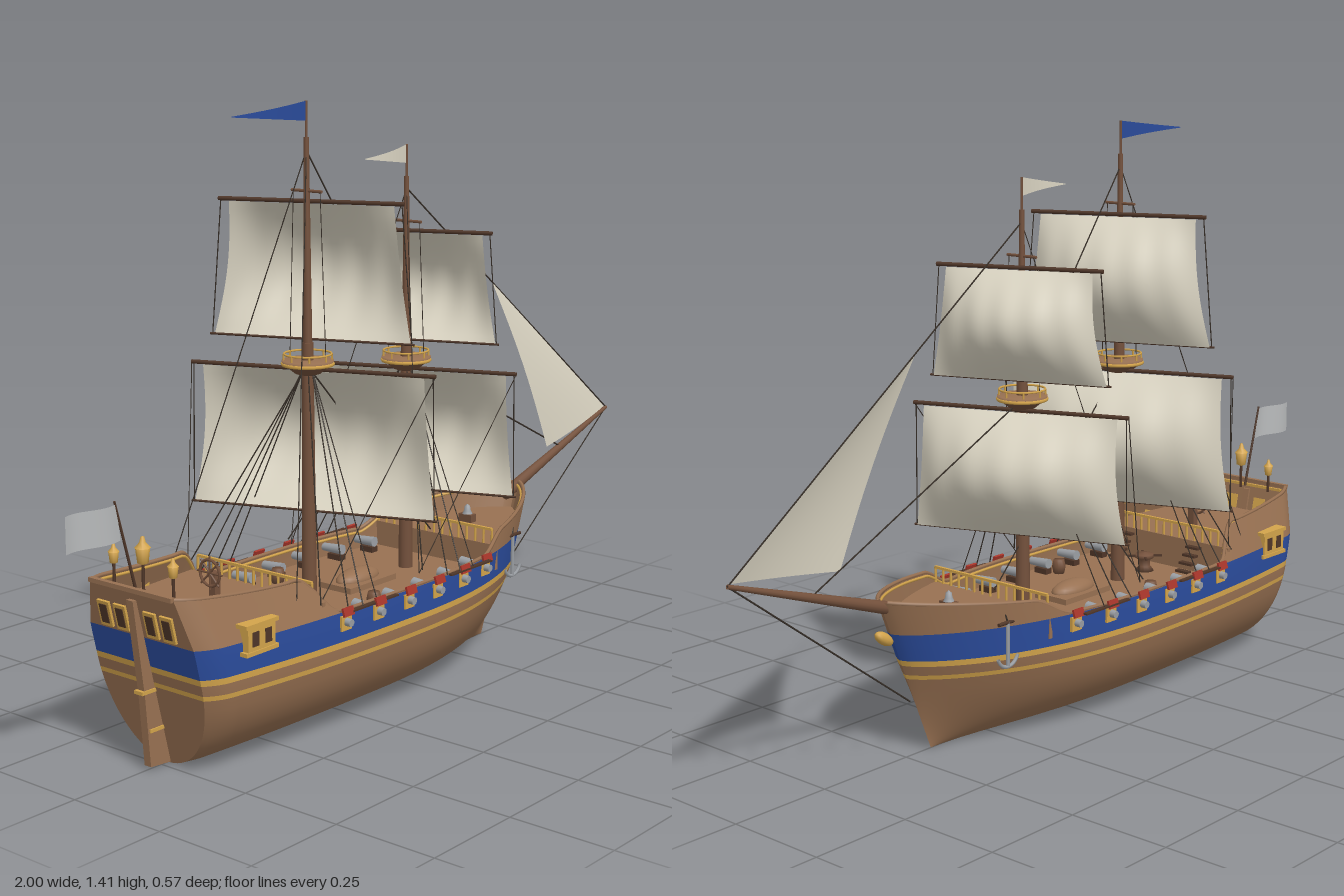
import * as THREE from 'three';

const mat = (name, color) => Object.assign(new THREE.MeshStandardMaterial({ color, side: THREE.DoubleSide }), { name });
const V = (x, y, z) => new THREE.Vector3(x, y, z);

export function createModel() {
  const wood = mat('hull wood', 0x987152), spar = mat('mast wood', 0x74513c), dark = mat('dark wood', 0x4f3628);
  const gold = mat('gold trim', 0xd3a44b), blue = mat('blue paint', 0x2b4c9c), sailCloth = mat('sail cloth', 0xdbd5c3);
  const rope = mat('rope', 0x383029), iron = mat('iron', 0x9a9ea3), red = mat('red paint', 0xa8352a), grey = mat('ensign grey', 0xb8babb);
  const ship = new THREE.Group();
  ship.name = 'sailingShip';

  // ---- helpers ----
  const add = (name, geo, m, parent = ship, x = 0, y = 0, z = 0) => {
    const mesh = new THREE.Mesh(geo, m);
    mesh.name = name;
    mesh.position.set(x, y, z);
    parent.add(mesh);
    return mesh;
  };
  const box = (name, m, w, h, d, x, y, z) => add(name, new THREE.BoxGeometry(w, h, d), m, ship, x, y, z);
  const rod = (name, m, a, b, r0, r1 = r0, sides = 8, parent = ship) => {
    const dir = b.clone().sub(a), geo = new THREE.CylinderGeometry(r1, r0, dir.length(), sides);
    const mesh = add(name, geo, m, parent);
    mesh.position.copy(a).add(b).multiplyScalar(0.5);
    mesh.quaternion.setFromUnitVectors(V(0, 1, 0), dir.normalize());
    return mesh;
  };
  const line = (name, a, b, r = 0.0014) => rod(name, rope, a, b, r, r, 4);
  const lathe = (name, m, pts, x, y, z, n = 14) =>
    add(name, new THREE.LatheGeometry(pts.map(p => new THREE.Vector2(...p)), n), m, ship, x, y, z);
  const ring = (name, m, r, tube, x, y) =>
    add(name, new THREE.TorusGeometry(r, tube, 6, 20), m, ship, x, y, 0).rotation.x = Math.PI / 2;
  const grid = (fn, nu, nv) => {
    const pos = [], idx = [], w = nu + 1;
    for (let j = 0; j <= nv; j++) for (let i = 0; i <= nu; i++) pos.push(...fn(i / nu, j / nv));
    for (let j = 0; j < nv; j++) for (let i = 0; i < nu; i++) {
      const a = j * w + i;
      idx.push(a, a + 1, a + w, a + 1, a + w + 1, a + w);
    }
    const g = new THREE.BufferGeometry();
    g.setAttribute('position', new THREE.Float32BufferAttribute(pos, 3));
    g.setIndex(idx);
    g.computeVertexNormals();
    return g;
  };

  // ---- hull form: s runs stern to bow, y is height ----
  const sternX = y => -0.73 - 0.235 * y, bowX = y => 0.42 + 0.4 * y;
  const stationAt = (x, y) => (x - sternX(y)) / (bowX(y) - sternX(y));
  const halfWidth = (s, y) => {
    const a = Math.abs(s - 0.5) / 0.5, low = Math.max(0, 1 - y / 0.22);
    const plan = s < 0.5 ? 0.23 - 0.052 * a ** 2.2 - 0.02 * Math.max(0, 1 - s / 0.045) ** 2
      : 0.23 * Math.max(0, 1 - a ** 2.3) ** (0.7 + 0.35 * low);
    const tumble = 1 - Math.max(0, y - 0.3) * 1.8 * Math.min(1, Math.max(0, 1.7 - 2 * s));
    return plan * Math.sqrt(1 - low * low) * tumble;
  };
  const hullPoint = (s, y, side, out = 0) =>
    [sternX(y) + (bowX(y) - sternX(y)) * s, y, side * Math.max(0, halfWidth(s, y) + out)];
  const smooth = t => THREE.MathUtils.smoothstep(t, 0, 1);
  const railY = s => {
    const x = -0.82 + 1.39 * s, q = Math.max(0, (-0.45 - x) / 0.37);
    return 0.304 + (0.084 + 0.024 * q * q) * smooth((-0.41 - x) / 0.09)
      + 0.046 * smooth((x - 0.17) / 0.1) + Math.max(0, x - 0.27) * 0.115;
  };
  const along = u => u < 0.1 ? u * 0.6 : 1 - 0.94 * ((1 - u) / 0.9) ** 1.35;

  // ---- hull planking, painted in level bands ----
  const bands = [
    ['lowerHull', wood, v => 0.186 * v * v, 14], ['lowerWale', gold, v => 0.186 + 0.011 * v, 1],
    ['middleHull', wood, v => 0.197 + 0.024 * v, 2], ['upperWale', gold, v => 0.221 + 0.014 * v, 1],
    ['blueBand', blue, v => 0.235 + 0.068 * v, 3], ['bulwark', wood, (v, s) => 0.303 + (railY(s) - 0.303) * v, 4]];
  for (const [name, m, yOf, n] of bands) {
    for (const side of [1, -1])
      add(name, grid((u, v) => hullPoint(along(u), yOf(v, along(u)), side), 70, n), m);
    add(name + 'Transom', grid((u, v) => {
      const p = hullPoint(0, yOf(v, 0), 1);
      return [p[0], p[1], p[2] * (2 * u - 1)];
    }, 8, n), m);
  }
  // inner planking, wooden cap rail and the gilded line inside it
  const railTube = (name, m, side, dy, out, r) => {
    const pts = Array.from({ length: 50 }, (_, i) => {
      const s = 0.003 + 0.99 * along(i / 49);
      return V(...hullPoint(s, railY(s) + dy, side, out));
    });
    add(name, new THREE.TubeGeometry(new THREE.CatmullRomCurve3(pts), 120, r, 6), m);
  };
  for (const side of [1, -1]) {
    add('innerBulwark', grid((u, v) => {
      const s = along(u);
      return hullPoint(s * 0.985 + 0.005, 0.25 + (railY(s) - 0.25) * v, side, -0.01);
    }, 70, 3), wood);
    railTube('capRail', wood, side, 0.001, -0.006, 0.005);
    railTube('gildedLine', gold, side, -0.007, -0.012, 0.0035);
  }
  box('sternCapRail', wood, 0.012, 0.01, 0.25, sternX(0.413), 0.413, 0);
  box('sternGildedLine', gold, 0.006, 0.007, 0.23, sternX(0.4) + 0.008, 0.403, 0);

  // ---- decks and the bulkheads between them ----
  const deck = (name, y, x0, x1) => {
    const s0 = stationAt(x0, y), s1 = stationAt(x1, y);
    add(name, grid((u, v) => {
      const p = hullPoint(s0 + (s1 - s0) * u, y, 1, -0.005);
      return [p[0], y, p[2] * (1 - 2 * v)];
    }, 24, 4), wood);
  };
  deck('mainDeck', 0.255, -0.46, 0.23);
  deck('quarterDeck', 0.335, -0.805, -0.45);
  deck('foreDeck', 0.318, 0.215, 0.545);
  box('quarterBulkhead', wood, 0.01, 0.08, 0.42, -0.45, 0.295, 0);
  box('foreBulkhead', wood, 0.01, 0.063, 0.385, 0.217, 0.2865, 0);
  for (const [x, y, w] of [[-0.45, 0.335, 0.175], [0.215, 0.318, 0.18]]) {
    box('deckRail', gold, 0.007, 0.006, 2 * w, x, y + 0.038, 0);
    for (let i = 0; i <= 14; i++) {
      const z = -w + 2 * w * i / 14;
      rod('baluster', gold, V(x, y, z), V(x, y + 0.038, z), 0.0033, 0.0033, 6);
    }
  }

  // ---- rudder, transom windows, lanterns and ensign ----
  const rudder = new THREE.Shape([[-0.728, 0.003], [-0.79, 0.008], [-0.803, 0.17], [-0.832, 0.39], [-0.815, 0.39]].map(p => new THREE.Vector2(...p)));
  add('rudder', new THREE.ExtrudeGeometry(rudder, { depth: 0.02, bevelEnabled: false }), wood, ship, 0, 0, -0.01);
  for (const y of [0.09, 0.18]) box('rudderHinge', gold, 0.045, 0.008, 0.026, sternX(y) - 0.018, y, 0);
  for (const z of [-0.095, -0.045, 0.045, 0.095]) {
    box('sternWindowFrame', gold, 0.008, 0.06, 0.036, sternX(0.34) - 0.002, 0.34, z).rotation.z = 0.23;
    box('sternWindowPane', dark, 0.008, 0.044, 0.022, sternX(0.34) - 0.004, 0.34, z).rotation.z = 0.23;
  }
  for (const [z, k] of [[-0.09, 0.72], [0, 1], [0.09, 0.72]]) {
    rod('lanternPost', dark, V(-0.79, 0.4, z), V(-0.79, 0.41 + 0.055 * k, z), 0.0035);
    lathe('sternLantern', gold, [[0, 0.05], [0.012, 0.055], [0.016, 0.088], [0, 0.09]], -0.79, 0.408, z, 8).scale.setScalar(k);
    lathe('lanternCap', gold, [[0.018, 0.088], [0.007, 0.1], [0.004, 0.112], [0, 0.114]], -0.79, 0.408, z, 8).scale.setScalar(k);
  }
  rod('ensignStaff', dark, V(-0.81, 0.4, 0), V(-0.867, 0.612, 0), 0.0035, 0.0025);
  add('ensign', grid((u, v) => [-0.862 - 0.138 * u + 0.01 * v * (1 - u), 0.605 - 0.08 * v, 0.008 * Math.sin(u * 6)], 12, 3), grey);

  // ---- quarter galleries, guns and anchors on both sides ----
  for (const side of [1, -1]) {
    const gz = side * 0.197;
    box('quarterGallery', gold, 0.085, 0.055, 0.026, -0.65, 0.308, gz);
    for (const y of [0.278, 0.338]) box('galleryLedge', gold, 0.1, 0.009, 0.032, -0.65, y, gz);
    for (const x of [-0.67, -0.63]) box('galleryPane', dark, 0.02, 0.032, 0.005, x, 0.308, gz + side * 0.012);
    for (let i = 0; i < 6; i++) {
      const x = -0.393 + i * 0.108, z = halfWidth(stationAt(x, 0.28), 0.28);
      box('gunPort', gold, 0.034, 0.034, 0.008, x, 0.278, side * z);
      box('gunPortLid', red, 0.034, 0.02, 0.006, x, 0.305, side * (z + 0.008)).rotation.x = side * -0.3;
      rod('gunBarrel', iron, V(x, 0.283, side * (z - 0.07)), V(x, 0.28, side * (z + 0.018)), 0.013, 0.009, 10);
      box('gunCarriage', dark, 0.022, 0.014, 0.04, x, 0.263, side * (z - 0.05));
    }
    const ax = 0.33, az = side * (halfWidth(stationAt(ax, 0.27), 0.27) + 0.008);
    rod('anchorShank', iron, V(ax, 0.208, az), V(ax, 0.315, az), 0.0045);
    rod('anchorStock', dark, V(ax - 0.03, 0.314, az), V(ax + 0.03, 0.314, az), 0.0045);
    const arms = add('anchorArms', new THREE.TorusGeometry(0.034, 0.0045, 6, 14, Math.PI * 0.8), iron, ship, ax, 0.243, az);
    arms.rotation.z = Math.PI * 1.1;
    rod('anchorCable', rope, V(ax, 0.315, az), V(ax + 0.01, 0.36, az - side * 0.01), 0.002);
    // ladders, barrels and shroud channels
    for (let i = 0; i < 4; i++) box('ladderStep', dark, 0.016, 0.006, 0.04, -0.39 - i * 0.014, 0.268 + i * 0.018, side * 0.11);
    lathe('barrel', spar, [[0, 0], [0.014, 0], [0.018, 0.018], [0.014, 0.036], [0, 0.036]], -0.205, 0.255, side * 0.15);
    for (const x of [-0.3, 0.06]) box('channel', dark, 0.16, 0.004, 0.012, x, 0.303, side * 0.23);
  }

  // ---- deck furniture ----
  box('cargoHatch', wood, 0.17, 0.014, 0.1, -0.085, 0.262, 0);
  const boat = add('shipsBoat', new THREE.SphereGeometry(1, 20, 8, 0, Math.PI * 2, 0, Math.PI / 2), wood, ship, -0.085, 0.269, 0);
  boat.scale.set(0.07, 0.025, 0.035);
  lathe('capstan', spar, [[0, 0], [0.024, 0], [0.015, 0.012], [0.015, 0.03], [0.024, 0.034], [0.024, 0.044], [0, 0.048]], -0.37, 0.255, 0);
  for (const a of [0.785, -0.785])
    box('capstanBar', dark, 0.09, 0.005, 0.005, -0.37, 0.294, 0).rotation.y = a;
  box('wheelPost', spar, 0.018, 0.06, 0.018, -0.575, 0.365, 0);
  add('steeringWheel', new THREE.TorusGeometry(0.03, 0.0035, 6, 20), spar, ship, -0.59, 0.395, 0).rotation.y = Math.PI / 2;
  for (let i = 0; i < 4; i++) {
    const a = i * Math.PI / 4, c = Math.cos(a) * 0.038, d = Math.sin(a) * 0.038;
    rod('wheelSpoke', spar, V(-0.59, 0.395 - c, -d), V(-0.59, 0.395 + c, d), 0.0025, 0.0025, 5);
  }
  box('belfry', spar, 0.022, 0.02, 0.04, 0.355, 0.328, 0);
  lathe('bell', iron, [[0.013, 0], [0.009, 0.008], [0.007, 0.02], [0, 0.026]], 0.355, 0.338, 0);

  // ---- bowsprit, figurehead and jib ----
  const tip = V(1, 0.516, 0);
  rod('bowsprit', spar, V(0.52, 0.357, 0), tip, 0.016, 0.005, 12);
  const figure = add('figurehead', new THREE.SphereGeometry(1, 12, 8), gold, ship, 0.563, 0.298, 0);
  figure.scale.set(0.03, 0.014, 0.014);
  figure.rotation.z = 0.6;
  add('jib', grid((u, v) => {
    const x = 0.45 + v * (0.205 + 0.335 * u), y = 0.93 - v * (0.463 - 0.053 * u);
    return [x, y, v * (1 - u) * (0.038 + 0.03 * u) + 0.012 * Math.sin(Math.PI * v) * (1 - u)];
  }, 12, 14), sailCloth);
  line('bobstay', tip, V(0.485, 0.13, 0), 0.002);

  // ---- masts, yards, square sails and rigging ----
  const mast = (name, mx, topY, mastY, flagY, flagLen, flagMat, sails, stayX) => {
    rod(name + 'LowerMast', spar, V(mx, 0.25, 0), V(mx, topY + 0.05, 0), 0.018, 0.013, 14);
    rod(name + 'TopMast', spar, V(mx, topY, 0), V(mx, mastY, 0), 0.011, 0.006, 10);
    rod(name + 'FlagStaff', spar, V(mx, mastY, 0), V(mx, flagY, 0), 0.003);
    // fighting top: dark bowl, wooden floor, gilded rims
    lathe(name + 'TopBowl', spar, [[0.012, -0.026], [0.03, -0.021], [0.056, 0]], mx, topY, 0, 18);
    lathe(name + 'TopFloor', wood, [[0.06, 0], [0.06, 0.01], [0.012, 0.01]], mx, topY, 0, 18);
    ring(name + 'TopRim', gold, 0.058, 0.0045, mx, topY + 0.001);
    ring(name + 'TopRail', gold, 0.055, 0.0025, mx, topY + 0.024);
    for (let i = 0; i < 8; i++) {
      const c = mx + 0.055 * Math.cos(i * Math.PI / 4), d = 0.055 * Math.sin(i * Math.PI / 4);
      rod(name + 'TopPost', gold, V(c, topY + 0.005, d), V(c, topY + 0.024, d), 0.0025, 0.0025, 5);
    }
    rod(name + 'Crosstree', spar, V(mx, sails[1][0] + 0.025, -0.045), V(mx, sails[1][0] + 0.025, 0.045), 0.0035);
    add(name + 'Pennant', grid((u, v) => [mx - flagLen * u, flagY - 0.022 + (v - 0.5) * 0.044 * (1 - u * 0.96) - 0.004 * u,
      0.014 * Math.sin(u * 2.8)], 16, 2), flagMat);
    const rig = new THREE.Group();
    rig.name = name + 'Yards';
    rig.position.x = mx;
    rig.rotation.y = 0.35;
    ship.add(rig);
    const world = (x, y, z) => V(mx + x * Math.cos(0.35) + z * Math.sin(0.35), y, z * Math.cos(0.35) - x * Math.sin(0.35));
    sails.forEach(([y0, y1, yard, w0, w1, foot, belly], k) => {
      rod('yard', dark, V(0.02, y0, -yard), V(0.02, y0, yard), 0.005, 0.005, 8, rig);
      rod('footSpar', dark, V(0.018, y1, -foot), V(0.018, y1, foot), 0.0028, 0.0028, 6, rig);
      add(k ? 'topSail' : 'mainSail', grid((u, v) => {
        const c = 2 * u - 1, puff = Math.sin(Math.PI * v) * (0.015 + belly * (1 - c * c) + 0.002 * Math.sin(c * 16 + v * 2));
        return [0.022 + puff, y0 - 0.006 + (y1 - y0 + 0.006) * v, c * (w0 + (w1 - w0) * v - 0.008 * Math.sin(Math.PI * v))];
      }, 32, 16), sailCloth, rig);
      for (const side of [1, -1]) {
        rod('sheet', rope, V(0.02, y0, side * (yard - 0.006)), V(0.018, y1, side * (foot - 0.006)), 0.0014, 0.0014, 4, rig);
        if (!k) line('brace', world(0.02, y0, side * yard), V(mx - 0.2, 0.32, side * 0.2), 0.0012);
      }
    });
    for (const side of [1, -1]) {
      for (const dx of [-0.1, -0.05, 0])
        line('shroud', V(mx, topY - 0.01, side * 0.012), V(mx + dx - 0.03, 0.305, side * 0.23), 0.0015);
      line('backstay', V(mx, mastY - 0.03, 0), V(stayX, 0.32, side * 0.2));
      line('lowerBackstay', V(mx, topY, 0), V(mx - 0.2, 0.33, side * 0.21), 0.002);
      line('topShroud', V(mx, sails[1][0] + 0.025, side * 0.04), V(mx, topY + 0.005, side * 0.055), 0.0012);
    }
  };
  // each sail: yard height, foot height, yard half length, head and foot half widths, foot spar half length, belly
  mast('main', -0.26, 0.815, 1.33, 1.41, 0.245, blue,
    [[0.8, 0.465, 0.3, 0.272, 0.298, 0.305, 0.078], [1.185, 0.87, 0.225, 0.2, 0.24, 0.25, 0.065]], -0.53);
  mast('fore', 0.1, 0.775, 1.22, 1.295, 0.16, sailCloth,
    [[0.752, 0.45, 0.272, 0.245, 0.266, 0.275, 0.076], [1.088, 0.822, 0.208, 0.183, 0.218, 0.228, 0.062]], -0.1);
  line('foreTopStay', V(0.1, 1.192, 0), tip, 0.0022);
  line('foreStay', V(0.1, 0.775, 0), V(0.78, 0.44, 0), 0.0022);
  line('mainTopStay', V(-0.26, 1.3, 0), V(0.1, 0.8, 0), 0.0022);
  line('mainStay', V(-0.26, 0.81, 0), V(0.2, 0.33, 0), 0.0022);

  return ship;
}
